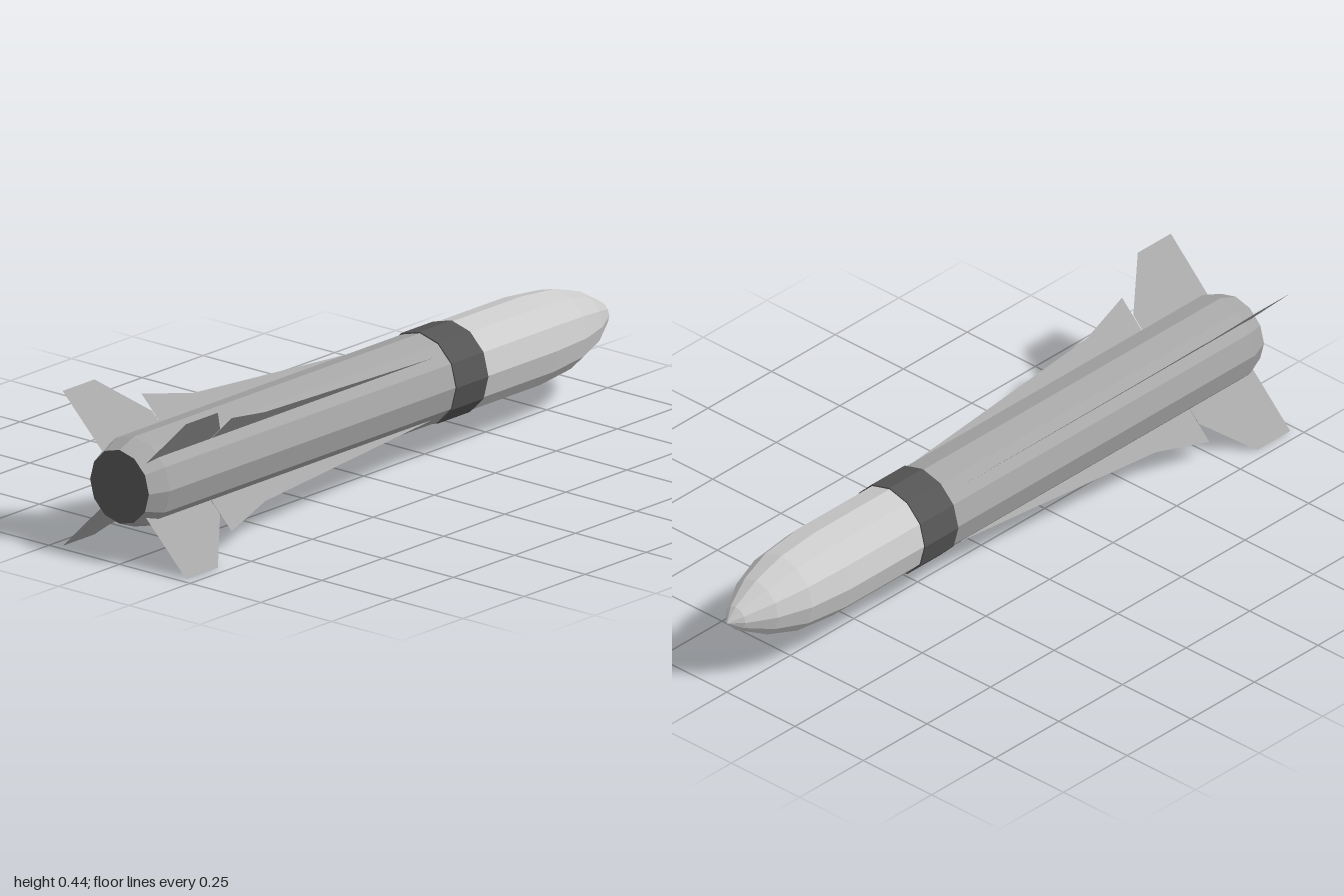
import * as THREE from 'three';

const SIDES = 12;
const AXIS_Y = 0.219;

function material(color, side = THREE.FrontSide) {
  return new THREE.MeshStandardMaterial({ color, flatShading: true, side });
}

// Faceted solid of revolution along z; profile pairs are [radius, z] with z rising
function turned(name, profile, mat) {
  const points = profile.map(([r, z]) => new THREE.Vector2(r, z));
  const geometry = new THREE.LatheGeometry(points, SIDES).rotateX(Math.PI / 2);
  const mesh = new THREE.Mesh(geometry, mat);
  mesh.name = name;
  return mesh;
}

// Paper-thin blade in the x-z plane; outline pairs are [radius, z]
function blade(name, outline, mat) {
  const shape = new THREE.Shape(outline.map(([r, z]) => new THREE.Vector2(r, z)));
  const mesh = new THREE.Mesh(new THREE.ShapeGeometry(shape).rotateX(Math.PI / 2), mat);
  mesh.name = name;
  return mesh;
}

export function createModel() {
  const model = new THREE.Group();
  model.name = 'missile';
  const light = material(0xcccccc);
  const grey = material(0xa6a6a6);
  const dark = material(0x555555);
  const finGrey = material(0xa6a6a6, THREE.DoubleSide);

  const body = new THREE.Group();
  body.name = 'body';
  body.position.y = AXIS_Y;
  model.add(body);

  // Pointed nose and forward section
  body.add(turned('nose', [
    [0, -1], [0.036, -0.965], [0.082, -0.885], [0.114, -0.785], [0.127, -0.65],
  ], light));
  body.add(turned('forwardSection', [[0.127, -0.65], [0.127, -0.3]], light));

  // Raised dark band
  body.add(turned('band', [
    [0.12, -0.36], [0.131, -0.36], [0.131, -0.23], [0.12, -0.23],
  ], dark));

  // Main tube with tapered tail and closed end
  body.add(turned('mainTube', [[0.127, -0.3], [0.127, 0.94], [0.104, 1]], grey));
  body.add(turned('tailCap', [[0.104, 1], [0, 1]], dark));

  // Four diagonal pairs of a long strake and a tail fin
  for (let i = 0; i < 4; i++) {
    const pair = new THREE.Group();
    pair.name = 'finPair' + (i + 1);
    pair.rotation.z = Math.PI / 4 + i * Math.PI / 2;
    pair.add(blade('strake', [
      [0.115, -0.19], [0.122, -0.19], [0.178, 0.55], [0.226, 0.725], [0.115, 0.725],
    ], finGrey));
    pair.add(blade('tailFin', [
      [0.1, 0.727], [0.17, 0.727], [0.309, 0.85], [0.309, 0.98], [0.1, 0.98],
    ], finGrey));
    body.add(pair);
  }
  return model;
}
